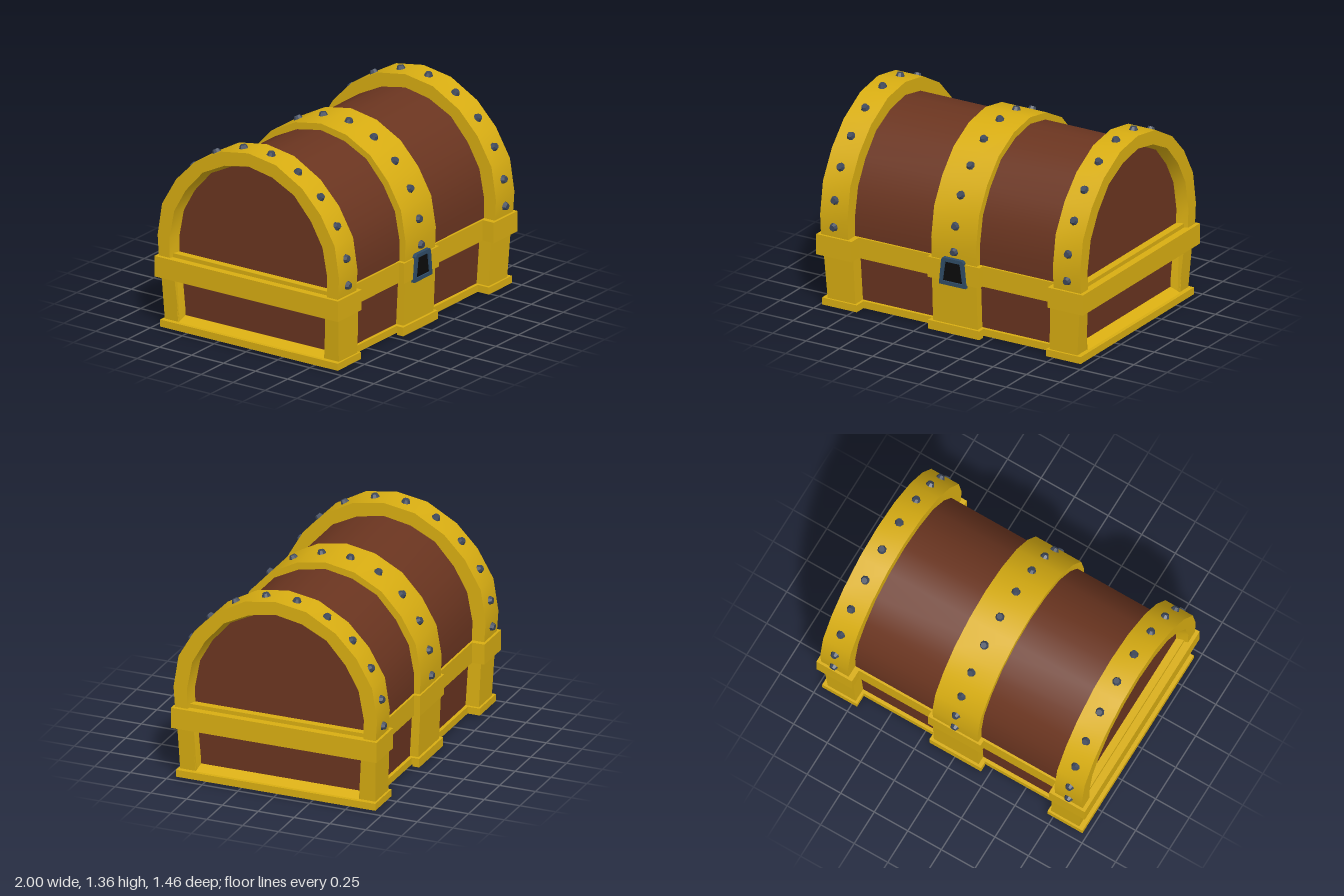
import * as THREE from 'three';
import { toCreasedNormals } from 'three/addons/utils/BufferGeometryUtils.js';

const material = (color, side = THREE.FrontSide) => new THREE.MeshStandardMaterial({ color, side });
const gold = material(0xd9ae12);
const goldThin = material(0xd9ae12, THREE.DoubleSide);
const wood = material(0x6b3520);
const iron = material(0x3f495c);
const blue = material(0x2f4c66);
const black = material(0x0a0a0a);

// Arch profiles as [z, y], from the front spring line over the top to the back
const mirrorArch = (half) => [...half, ...half.slice(0, -1).reverse().map(([z, y]) => [-z, y])];
const lidArch = mirrorArch([[0.615, 0.5], [0.617, 0.635], [0.58, 0.83], [0.49, 0.99], [0.357, 1.14], [0.186, 1.225], [0, 1.26]]);
const hoopArch = mirrorArch([[0.7, 0.5], [0.71, 0.64], [0.675, 0.86], [0.565, 1.05], [0.42, 1.2], [0.215, 1.315], [0, 1.35]]);
const strapArch = lidArch.map(([z, y], i) => [(z + hoopArch[i][0]) / 2, (y + hoopArch[i][1]) / 2]);
const panelArch = lidArch.map(([z, y]) => [z * 0.96, 0.5 + (y - 0.5) * 0.965]);

const toShape = (points) => new THREE.Shape(points.map(([x, y]) => new THREE.Vector2(x, y)));

// Skin through sections of the form [profile, x]
function loft(sections) {
  const positions = [];
  for (let i = 0; i < sections.length - 1; i++) {
    const [p, x0] = sections[i];
    const [q, x1] = sections[i + 1];
    for (let j = 0; j < p.length - 1; j++) {
      const a = [x0, p[j][1], p[j][0]];
      const b = [x0, p[j + 1][1], p[j + 1][0]];
      const c = [x1, q[j + 1][1], q[j + 1][0]];
      const d = [x1, q[j][1], q[j][0]];
      positions.push(...a, ...d, ...c, ...a, ...c, ...b);
    }
  }
  const geometry = new THREE.BufferGeometry();
  geometry.setAttribute('position', new THREE.Float32BufferAttribute(positions, 3));
  return toCreasedNormals(geometry, 0.7);
}

const mirrored = (sections, side) =>
  side > 0 ? sections : sections.map(([p, x]) => [p, -x]).reverse();

// Box whose bottom and top rectangles are [x0, x1, z0, z1]
function taperedBox(y0, bottom, y1, top) {
  const geometry = new THREE.BoxGeometry(1, 1, 1);
  const pos = geometry.attributes.position;
  for (let i = 0; i < pos.count; i++) {
    const up = pos.getY(i) > 0;
    const rect = up ? top : bottom;
    pos.setXYZ(i, rect[pos.getX(i) > 0 ? 1 : 0], up ? y1 : y0, rect[pos.getZ(i) > 0 ? 3 : 2]);
  }
  geometry.computeVertexNormals();
  return geometry;
}

const box = (x0, x1, y0, y1, z0, z1) => taperedBox(y0, [x0, x1, z0, z1], y1, [x0, x1, z0, z1]);

// Plan outline that steps out at the centre strap and at the corners
function planOutline(quarter) {
  const half = [...quarter, ...quarter.slice().reverse().map(([x, z]) => [x, -z])];
  return [...half, ...half.slice().reverse().map(([x, z]) => [-x, z])];
}

function slab(shape, y0, y1) {
  const geometry = new THREE.ExtrudeGeometry(shape, { depth: y1 - y0, bevelEnabled: false });
  return geometry.rotateX(-Math.PI / 2).translate(0, y0, 0);
}

export function createModel() {
  const model = new THREE.Group();
  model.name = 'treasureChest';
  const add = (name, geometry, mat) => {
    const mesh = new THREE.Mesh(geometry, mat);
    mesh.name = name;
    model.add(mesh);
    return mesh;
  };

  // Wooden lid and tapered lower body
  const lid = new THREE.ExtrudeGeometry(toShape(lidArch), { depth: 1.8, bevelEnabled: false });
  lid.translate(0, 0, -0.9).rotateY(Math.PI / 2);
  add('lid', toCreasedNormals(lid, 0.7), wood);
  add('body', taperedBox(0.02, [-0.87, 0.87, -0.585, 0.585], 0.5, [-0.89, 0.89, -0.61, 0.61]), wood);

  // Belt around the middle, trim around the foot and the recessed floor
  const belt = planOutline([[0.195, 0.67], [0.195, 0.63], [0.735, 0.63], [0.735, 0.717], [1, 0.717]]);
  add('belt', slab(toShape(belt), 0.36, 0.5), gold);
  const foot = planOutline([[0.19, 0.66], [0.19, 0.61], [0.71, 0.61], [0.71, 0.695], [0.97, 0.695]]);
  const floor = planOutline([[0.178, 0.648], [0.178, 0.598], [0.722, 0.598], [0.722, 0.683], [0.958, 0.683]]);
  const trim = toShape(foot);
  trim.holes.push(toShape(floor));
  add('footTrim', slab(trim, 0.012, 0.06), gold);
  add('floor', slab(toShape(floor), 0.02, 0.045), wood);
  add('footLedge', slab(toShape(floor), 0.045, 0.06), gold);

  // Centre strap over the lid and down the body
  add('lidStrap', loft([[lidArch, -0.17], [strapArch, -0.17], [strapArch, 0.167], [lidArch, 0.167]]), gold);
  add('bodyStrap', taperedBox(0.04, [-0.167, 0.167, -0.645, 0.645], 0.38, [-0.167, 0.167, -0.66, 0.66]), gold);

  for (const side of [1, -1]) {
    const across = (a, b) => (side > 0 ? [a, b] : [-b, -a]);

    // Arched end hoop with a bevel into the end panel
    const hoop = [[lidArch, 0.77], [hoopArch, 0.77], [hoopArch, 0.975], [lidArch, 0.975], [panelArch, 0.9]];
    add('endHoop', loft(mirrored(hoop, side)), gold);
    add('endSill', box(...across(0.88, 0.95), 0.49, 0.527, -0.61, 0.61), gold);

    // Bevelled frame around the lower end panel
    const outer = [[0.57, 0.06], [0.595, 0.36], [-0.595, 0.36], [-0.57, 0.06], [0.57, 0.06]];
    const inner = [[0.56, 0.09], [0.575, 0.34], [-0.575, 0.34], [-0.56, 0.09], [0.56, 0.09]];
    add('endFrame', loft(mirrored([[outer, 0.945], [inner, 0.875]], side)), goldThin);

    // Corner posts and centre feet, front and back
    for (const face of [1, -1]) {
      const along = (a, b) => (face > 0 ? [a, b] : [-b, -a]);
      add('cornerPost', taperedBox(
        0.04, [...across(0.728, 0.935), ...along(0.565, 0.68)],
        0.38, [...across(0.738, 0.96), ...along(0.592, 0.692)]), gold);
      if (side > 0) add('centreFoot', box(-0.195, 0.19, 0, 0.06, ...along(0.615, 0.663)), gold);
    }
  }

  // One stud in the middle of every hoop facet
  const studGeometry = new THREE.CylinderGeometry(0.02, 0.033, 0.03, 8).toNonIndexed();
  studGeometry.computeVertexNormals();
  const up = new THREE.Vector3(0, 1, 0);
  for (const [arch, x] of [[hoopArch, -0.875], [strapArch, 0], [hoopArch, 0.875]]) {
    for (let i = 0; i < arch.length - 1; i++) {
      const [z0, y0] = arch[i];
      const [z1, y1] = arch[i + 1];
      const normal = new THREE.Vector3(0, z0 - z1, y1 - y0).normalize();
      const stud = add('stud', studGeometry, iron);
      stud.position.set(x, (y0 + y1) / 2, (z0 + z1) / 2).addScaledVector(normal, 0.008);
      stud.quaternion.setFromUnitVectors(up, normal);
    }
  }

  // Lock plate with a dark keyhole
  const plate = toShape([[-0.1, 0.34], [0.1, 0.34], [0.083, 0.51], [0.073, 0.525], [-0.073, 0.525], [-0.083, 0.51]]);
  const keyhole = [[-0.075, 0.365], [0.075, 0.365], [0.055, 0.5], [-0.055, 0.5]];
  plate.holes.push(toShape(keyhole));
  add('lockPlate', new THREE.ExtrudeGeometry(plate, { depth: 0.035, bevelEnabled: false }).translate(0, 0, 0.65), blue);
  add('keyhole', new THREE.ExtrudeGeometry(toShape(keyhole), { depth: 0.024, bevelEnabled: false }).translate(0, 0, 0.65), black);

  return model;
}
